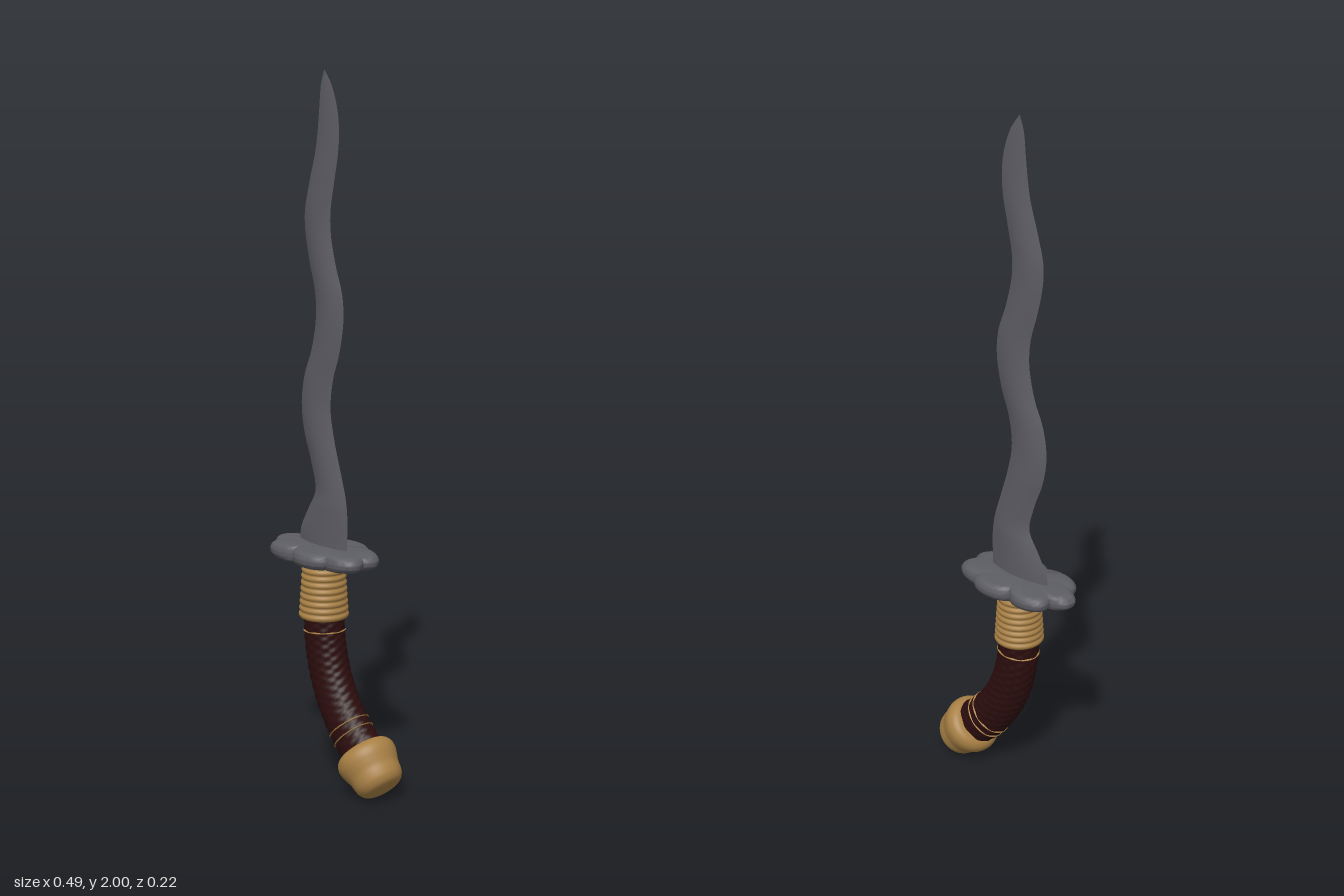
import * as THREE from 'three';
import { toCreasedNormals } from 'three/addons/utils/BufferGeometryUtils.js';

const V = (x, y, z) => new THREE.Vector3(x, y, z);
const material = (name, color) => {
  const m = new THREE.MeshStandardMaterial({ color });
  m.name = name;
  return m;
};

// Skin a list of closed rings; each ring runs counterclockwise about the travel direction.
function loft(rings) {
  const n = rings[0].length;
  const index = [];
  for (let i = 0; i < rings.length - 1; i++) {
    for (let j = 0; j < n; j++) {
      const a = i * n + j, b = i * n + (j + 1) % n;
      index.push(a, b, b + n, a, b + n, a + n);
    }
  }
  const g = new THREE.BufferGeometry().setFromPoints(rings.flat());
  g.setIndex(index);
  g.computeVertexNormals();
  return g;
}

// Wavy blade: rows of [height, left edge, right edge], lens-shaped section.
function bladeGeometry() {
  const rows = [
    [0.67, -0.155, 0.05], [0.72, -0.152, 0.052], [0.78, -0.12, 0.053], [0.84, -0.087, 0.045],
    [0.92, -0.105, 0.02], [1.0, -0.135, -0.005], [1.08, -0.147, -0.02], [1.16, -0.135, -0.01],
    [1.24, -0.102, 0.018], [1.33, -0.083, 0.035], [1.4, -0.087, 0.03], [1.48, -0.11, 0.002],
    [1.56, -0.128, -0.018], [1.62, -0.13, -0.02], [1.7, -0.11, -0.005], [1.78, -0.085, 0.012],
    [1.84, -0.074, 0.016], [1.9, -0.067, 0.008], [1.96, -0.06, -0.015], [2, -0.046, -0.045],
  ];
  const edges = new THREE.CatmullRomCurve3(rows.map(([y, l, r]) => V(l, y, r))).getPoints(110);
  const half = 6;
  const rings = edges.map(({ x: l, y, z: r }) => {
    const thick = 0.018 * Math.min(1, (r - l) / 0.15) * Math.min(1, 0.25 + (2 - y) * 2.2);
    const ring = [];
    for (let k = 0; k < half * 2; k++) {
      const u = k <= half ? -1 + (2 * k) / half : 3 - (2 * k) / half;
      const side = k <= half ? 1 : -1;
      ring.push(V((l + r) / 2 + (u * (r - l)) / 2, y, side * thick * (1 - u * u)));
    }
    return ring;
  });
  return toCreasedNormals(loft(rings), 0.7);
}

// Petalled guard: scalloped outline shrunk through a rounded edge profile.
function guardGeometry() {
  const s = new THREE.Shape();
  s.moveTo(-0.2, -0.04);
  s.bezierCurveTo(-0.265, -0.035, -0.265, 0.035, -0.2, 0.04);
  s.bezierCurveTo(-0.225, 0.1, -0.11, 0.115, -0.085, 0.08);
  s.bezierCurveTo(-0.07, 0.12, 0.04, 0.12, 0.05, 0.075);
  s.bezierCurveTo(0.1, 0.085, 0.165, 0.045, 0.122, 0);
  s.bezierCurveTo(0.165, -0.045, 0.1, -0.085, 0.05, -0.075);
  s.bezierCurveTo(0.04, -0.12, -0.07, -0.12, -0.085, -0.08);
  s.bezierCurveTo(-0.11, -0.115, -0.225, -0.1, -0.2, -0.04);
  const outline = s.getPoints(14).slice(0, -1);
  const cx = -0.05, cy = 0.667;
  const layer = (k, y) => outline.map((p) => V(cx + (p.x - cx) * k, cy + y, p.y * k));
  const rings = [layer(0, -0.024)];
  for (let i = 0; i <= 12; i++) {
    const a = -Math.PI / 2 + (Math.PI * i) / 12;
    rings.push(layer(0.82 + 0.18 * Math.cos(a), 0.023 * Math.sin(a)));
  }
  rings.push(layer(0, 0.024));
  return toCreasedNormals(loft(rings), 0.9);
}

// Curved grip path, and an oval tube along a part of it.
const gripPath = new THREE.CatmullRomCurve3([
  V(-0.05, 0.5, 0), V(-0.043, 0.41, 0), V(-0.018, 0.315, 0),
  V(0.025, 0.232, 0), V(0.08, 0.165, 0), V(0.135, 0.115, 0),
]);
function gripSweep(t0, t1, steps, swell) {
  const sides = 48, rings = [];
  for (let i = 0; i <= steps; i++) {
    const k = i / steps, t = t0 + (t1 - t0) * k;
    const p = gripPath.getPointAt(t), d = gripPath.getTangentAt(t);
    const rx = 0.06 + 0.008 * t, ring = [];
    for (let j = 0; j < sides; j++) {
      const a = (j / sides) * Math.PI * 2, f = swell(k, a);
      const c = Math.cos(a) * rx * f;
      ring.push(V(p.x - d.y * c, p.y + d.x * c, Math.sin(a) * 0.055 * f));
    }
    rings.push(ring);
  }
  return loft(rings);
}

// Ringed collar between grip and guard.
function collarGeometry() {
  const profile = [new THREE.Vector2(0, 0.48)];
  const count = 9, per = 6, low = 0.482, high = 0.648;
  for (let i = 0; i <= count * per; i++) {
    const k = i / (count * per);
    const bump = Math.abs(Math.sin(k * count * Math.PI));
    profile.push(new THREE.Vector2(0.067 - 0.011 * k + 0.005 * bump, low + (high - low) * k));
  }
  return new THREE.LatheGeometry(profile, 40);
}

// Mushroom-shaped pommel, turned to follow the end of the grip.
function pommelGeometry() {
  const profile = [
    [0, 0.11], [0.03, 0.109], [0.054, 0.102], [0.067, 0.088], [0.072, 0.072], [0.075, 0.052],
    [0.081, 0.034], [0.086, 0.016], [0.086, 0], [0.08, -0.014], [0.066, -0.024], [0, -0.026],
  ].reverse().map(([r, s]) => V(r, s, 0));
  const smooth = new THREE.CatmullRomCurve3(profile).getPoints(50);
  return new THREE.LatheGeometry(smooth.map((p) => new THREE.Vector2(Math.max(0, p.x), p.y)), 40);
}

export function createModel() {
  const steel = material('dark steel', 0x5d5d64);
  const brass = material('brass', 0xa88045);
  const leather = material('dark red leather', 0x2c0d0d);

  const group = new THREE.Group();
  group.name = 'wavyDagger';
  const add = (name, geometry, mat) => {
    const mesh = new THREE.Mesh(geometry, mat);
    mesh.name = name;
    group.add(mesh);
    return mesh;
  };

  add('blade', bladeGeometry(), steel);
  add('guard', guardGeometry(), steel);
  add('collar', collarGeometry(), brass).position.x = -0.05;

  // Grip with a woven relief, and thin brass bands
  add('grip', gripSweep(0, 1, 130, (k, a) => 1 + 0.025 * Math.cos(k * 34 * Math.PI) * Math.cos(8 * a)), leather);
  [0.12, 0.765, 0.83].forEach((t, i) => {
    add('gripBand' + (i + 1), gripSweep(t, t + 0.014, 6, (k) => 0.95 + 0.1 * Math.sin(k * Math.PI)), brass);
  });

  const pommel = add('pommel', pommelGeometry(), brass);
  pommel.position.set(0.134, 0.115, 0);
  pommel.quaternion.setFromUnitVectors(V(0, 1, 0), V(0.72, -0.69, 0).normalize());

  return group;
}
